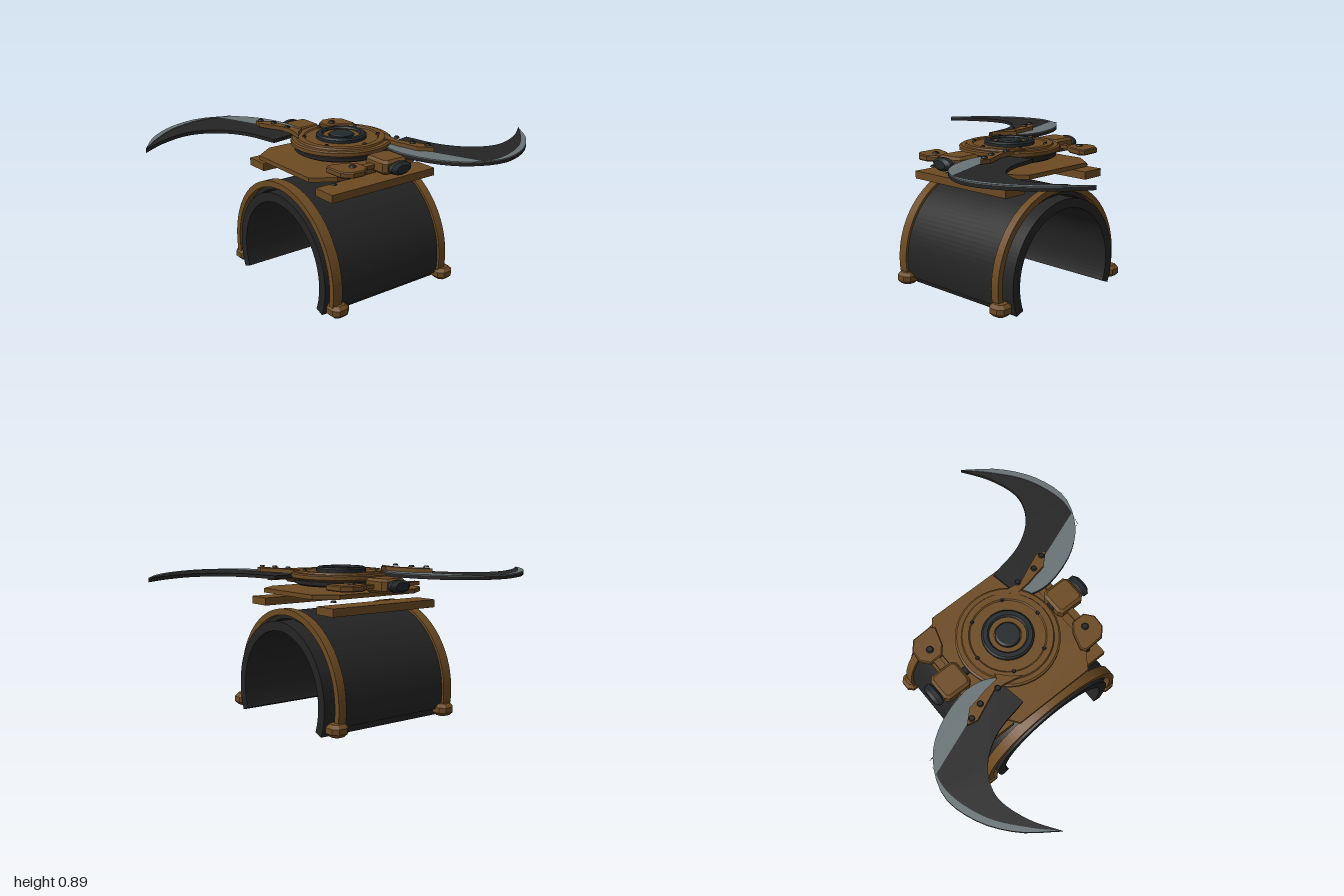
import * as THREE from 'three';

const mat = (name, color, opts = {}) => {
  const m = new THREE.MeshStandardMaterial({ color, ...opts });
  m.name = name;
  return m;
};

export function createModel() {
  const bronze = mat('bronze', 0x6c4a22);
  const dark = mat('dark metal', 0x242424);
  const steel = mat('blade steel', 0x687376);
  const knobMat = mat('dark blue metal', 0x22282b);
  const model = new THREE.Group();

  const add = (parent, name, geo, material, x = 0, y = 0, z = 0) => {
    const m = new THREE.Mesh(geo, material);
    m.name = name;
    m.position.set(x, y, z);
    parent.add(m);
    return m;
  };
  // Flat plate from plan points [x, z], bottom at y = 0
  const plate = (pts, h, bevel = 0) => {
    const g = new THREE.ExtrudeGeometry(
      new THREE.Shape(pts.map(([x, z]) => new THREE.Vector2(x, -z))),
      { depth: h - 2 * bevel, bevelEnabled: bevel > 0, bevelSize: bevel, bevelThickness: bevel, bevelOffset: -bevel, bevelSegments: 1 });
    return g.rotateX(-Math.PI / 2).translate(0, bevel, 0);
  };
  // Arched band around the z axis
  const arch = (r0, r1, z0, z1, dip) => {
    const a = THREE.MathUtils.degToRad(dip);
    const s = new THREE.Shape();
    s.absarc(0, 0, r1, -a, Math.PI + a, false);
    s.absarc(0, 0, r0, Math.PI + a, -a, true);
    return new THREE.ExtrudeGeometry(s, { depth: z1 - z0, bevelEnabled: false, curveSegments: 32 }).translate(0, 0, z0);
  };
  // Box with cut corners
  const cutBox = (w, h, d, c) => {
    const x = w / 2, z = d / 2;
    return plate([[-x + c, z], [x - c, z], [x, z - c], [x, -z + c], [x - c, -z], [-x + c, -z], [-x, -z + c], [-x, z - c]], h, c * 0.7)
      .translate(0, -h / 2, 0);
  };
  const bolt = (parent, x, y, z, r = 0.016) =>
    add(parent, 'bolt', new THREE.CylinderGeometry(r * 0.7, r, 0.01, 10), dark, x, y, z);

  // Cuff: inner sleeve, outer shell, end bands and feet
  const cuff = new THREE.Group();
  cuff.name = 'cuff';
  model.add(cuff);
  const cy = 0.155;
  add(cuff, 'innerSleeve', arch(0.37, 0.424, -0.437, 0.437, 21.5), dark, 0, cy);
  add(cuff, 'outerShell', arch(0.432, 0.475, -0.36, 0.39, 12), dark, 0, cy);
  add(cuff, 'frontBand', arch(0.455, 0.49, 0.37, 0.43, 12), bronze, 0, cy);
  add(cuff, 'backBand', arch(0.455, 0.49, -0.39, -0.34, 12), bronze, 0, cy);
  for (const sx of [-1, 1]) for (const sz of [-1, 1]) {
    add(cuff, 'foot', cutBox(0.11, 0.07, 0.11, 0.028), bronze, sx * 0.467, 0.05, sz * 0.385);
  }

  // Mounting rails and base plate
  for (const s of [-1, 1]) {
    add(model, 'rail', new THREE.BoxGeometry(0.145, 0.045, 0.73), bronze, s * 0.327, 0.66, 0.005);
    bolt(model, s * 0.325, 0.71, s * 0.3, 0.018);
  }
  add(model, 'basePlate', plate([[-0.24, 0.405], [0.24, 0.405], [0.33, 0.28], [0.33, -0.26], [0.24, -0.38],
    [-0.24, -0.38], [-0.33, -0.26], [-0.33, 0.28]], 0.025), bronze, 0, 0.718);

  // Turntable with stepped rings
  const turntable = new THREE.Group();
  turntable.name = 'turntable';
  model.add(turntable);
  const lathe = (name, pts, m) => add(turntable, name,
    new THREE.LatheGeometry(pts.map(p => new THREE.Vector2(...p)), 40).toNonIndexed(), m).geometry.computeVertexNormals();
  lathe('turntableBase', [[0, 0.765], [0.25, 0.765], [0.27, 0.775], [0.27, 0.795], [0.255, 0.805]], dark);
  lathe('turntableDisc', [[0, 0.8], [0.27, 0.8], [0.29, 0.81], [0.29, 0.83], [0.28, 0.837], [0.255, 0.837],
    [0.25, 0.847], [0.215, 0.847], [0.208, 0.84], [0.15, 0.84], [0, 0.84]], bronze);
  lathe('hubRing', [[0.145, 0.838], [0.145, 0.857], [0.135, 0.866], [0.112, 0.866], [0.103, 0.857], [0.103, 0.838]], knobMat);
  lathe('hubCollar', [[0.103, 0.838], [0.103, 0.853], [0.075, 0.853], [0.075, 0.838]], bronze);
  lathe('hubCap', [[0.07, 0.838], [0.07, 0.858], [0.06, 0.864], [0, 0.864]], knobMat);
  for (let i = 0; i < 6; i++) {
    const a = i * Math.PI / 3;
    bolt(turntable, 0.212 * Math.cos(a), 0.849, 0.212 * Math.sin(a), 0.012);
  }

  // Side rollers with knobs, and the rods that hold them
  const roller = (r0, r1, len) => {
    const g = new THREE.CylinderGeometry(r0, r1, len, 16);
    return g.rotateZ(-Math.PI / 2);
  };
  for (const s of [-1, 1]) {
    const side = new THREE.Group();
    side.name = s > 0 ? 'leftRoller' : 'rightRoller';
    side.position.y = 0.788;
    side.rotation.y = s > 0 ? 0 : Math.PI;
    model.add(side);
    add(side, 'rollerHousing', cutBox(0.175, 0.08, 0.165, 0.022), bronze, 0.397, 0, 0);
    add(side, 'axle', roller(0.025, 0.025, 0.26), dark, 0.39);
    const parts = [[0.07, 0.07, 0.025, 0.51], [0.045, 0.07, 0.018, 0.5315], [0.07, 0.045, 0.012, 0.4915]];
    for (const [a, b, l, x] of parts) add(side, 'knob', roller(a, b, l), knobMat, x).scale.y = 0.52;
    add(side, 'rod', new THREE.BoxGeometry(0.04, 0.022, 0.5), bronze, 0.38, -0.005, 0);

    // Loose cornered tab beside the roller
    add(side, 'cornerTab', plate([[0.27, 0.3], [0.3, 0.2], [0.34, 0.15], [0.42, 0.15], [0.46, 0.2],
      [0.455, 0.27], [0.41, 0.32], [0.29, 0.325]], 0.034, 0.006), bronze, 0, -0.02, 0);
    bolt(side, 0.375, 0.018, 0.215, 0.022);
  }

  // Curved blades: dark body with a pale cutting edge on top, held by a clamp arm
  const curve = (pts) => new THREE.CatmullRomCurve3(pts.map(([x, z]) => new THREE.Vector3(x, 0, z)))
    .getPoints(28).map(p => [p.x, p.z]);
  const outer = curve([[-0.2, 0.15], [-0.28, 0.115], [-0.39, 0.107], [-0.6, 0.175], [-0.735, 0.29],
    [-0.81, 0.476], [-0.76, 0.68], [-0.63, 0.86], [-0.45, 0.998]]);
  const inner = curve([[-0.45, 0.998], [-0.545, 0.85], [-0.6, 0.68], [-0.585, 0.58], [-0.52, 0.48],
    [-0.39, 0.395], [-0.175, 0.345]]);
  const rim = [...curve([[-0.45, 0.998], [-0.57, 0.88], [-0.71, 0.7], [-0.782, 0.47], [-0.755, 0.29]]),
    ...curve([[-0.754, 0.289], [-0.6, 0.268], [-0.39, 0.228], [-0.21, 0.195]])];
  for (const s of [1, -1]) {
    const blade = new THREE.Group();
    blade.name = s > 0 ? 'frontBlade' : 'backBlade';
    blade.position.y = s > 0 ? 0.822 : 0.796;
    blade.rotation.y = s > 0 ? 0 : Math.PI;
    model.add(blade);
    add(blade, 'bladeBody', plate([...outer, ...inner.slice(1), [-0.2, 0.2]], 0.02), dark);
    add(blade, 'bladeEdge', plate([...outer, ...rim.slice(1)], 0.005), steel, 0, 0.02, 0);
    add(blade, 'clampArm', plate([[-0.49, 0.265], [-0.42, 0.2], [-0.36, 0.19], [-0.3, 0.175], [-0.21, 0.165],
      [-0.2, 0.135], [-0.14, 0.2], [-0.09, 0.235], [-0.18, 0.215], [-0.26, 0.205], [-0.35, 0.245], [-0.43, 0.28]], 0.024),
    bronze, 0, 0.024, 0);
    for (const [x, z] of [[-0.45, 0.255], [-0.365, 0.22], [-0.24, 0.21]]) bolt(blade, x, 0.058, z, 0.018);
  }
  return model;
}
